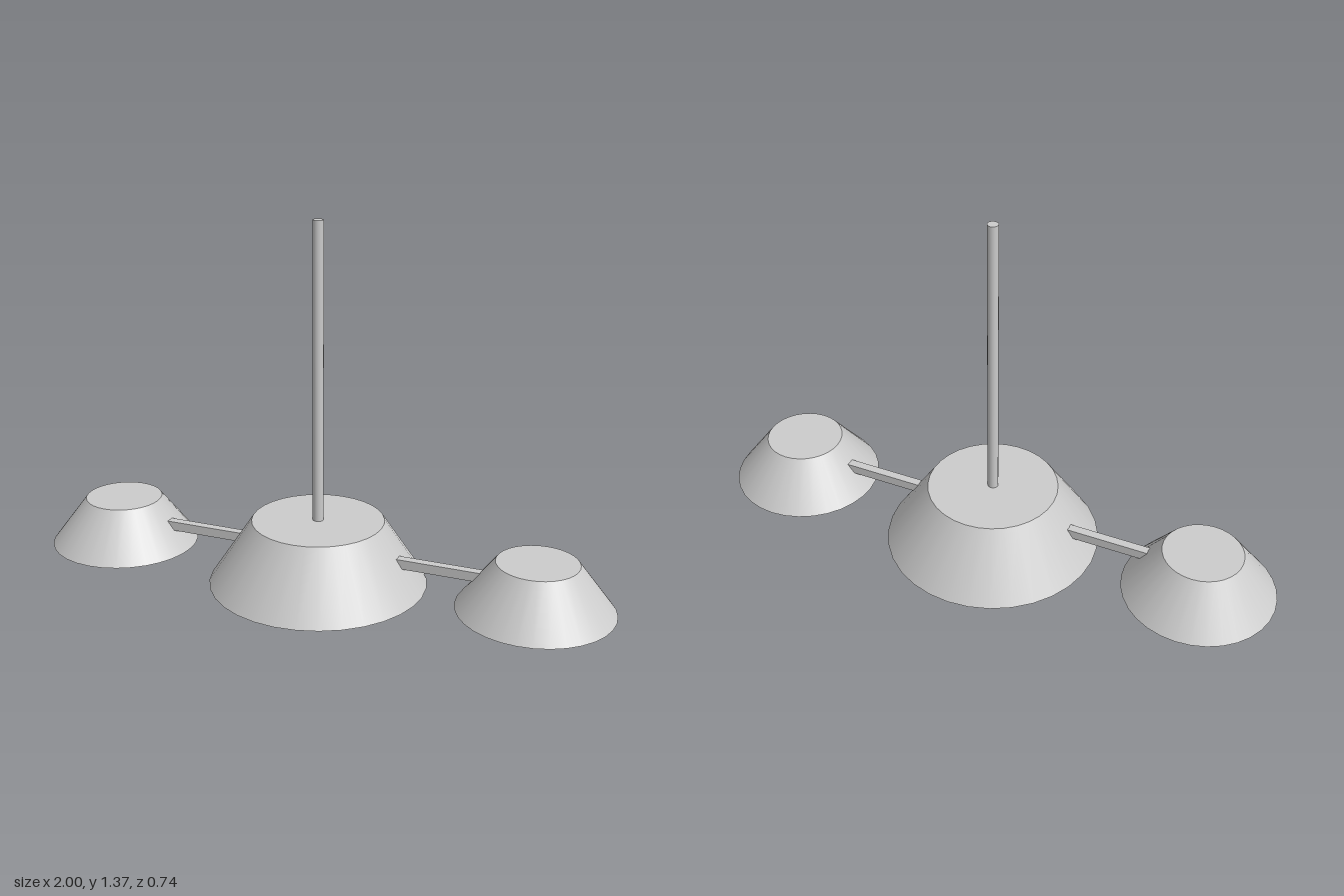
import * as THREE from 'three';

const material = new THREE.MeshStandardMaterial({ color: 0xcccccc });

function part(name, geometry, x, y, parent) {
  const mesh = new THREE.Mesh(geometry, material);
  mesh.name = name;
  mesh.position.set(x, y, 0);
  parent.add(mesh);
  return mesh;
}

// Closed, smooth conical shade standing between two heights
function shade(name, topRadius, bottomRadius, bottom, top, x, parent) {
  const geometry = new THREE.CylinderGeometry(topRadius, bottomRadius, top - bottom, 32);
  return part(name, geometry, x, (bottom + top) / 2, parent);
}

export function createModel() {
  const lamp = new THREE.Group();
  lamp.name = 'pendantLamp';

  // Hanging rod, central shade and bulb
  part('hangingRod', new THREE.CylinderGeometry(0.018, 0.018, 1.02, 16), 0, 0.86, lamp);
  shade('centralShade', 0.222, 0.368, 0.15, 0.37, 0, lamp);
  part('bulb', new THREE.SphereGeometry(0.125, 32, 24), 0, 0.125, lamp);

  // Side shades, each on a square arm
  for (const [side, s] of [['left', 1], ['right', -1]]) {
    part(side + 'Arm', new THREE.BoxGeometry(0.42, 0.032, 0.03), s * 0.42, 0.263, lamp);
    shade(side + 'Shade', 0.133, 0.257, 0.18, 0.342, s * 0.743, lamp);
  }
  return lamp;
}
